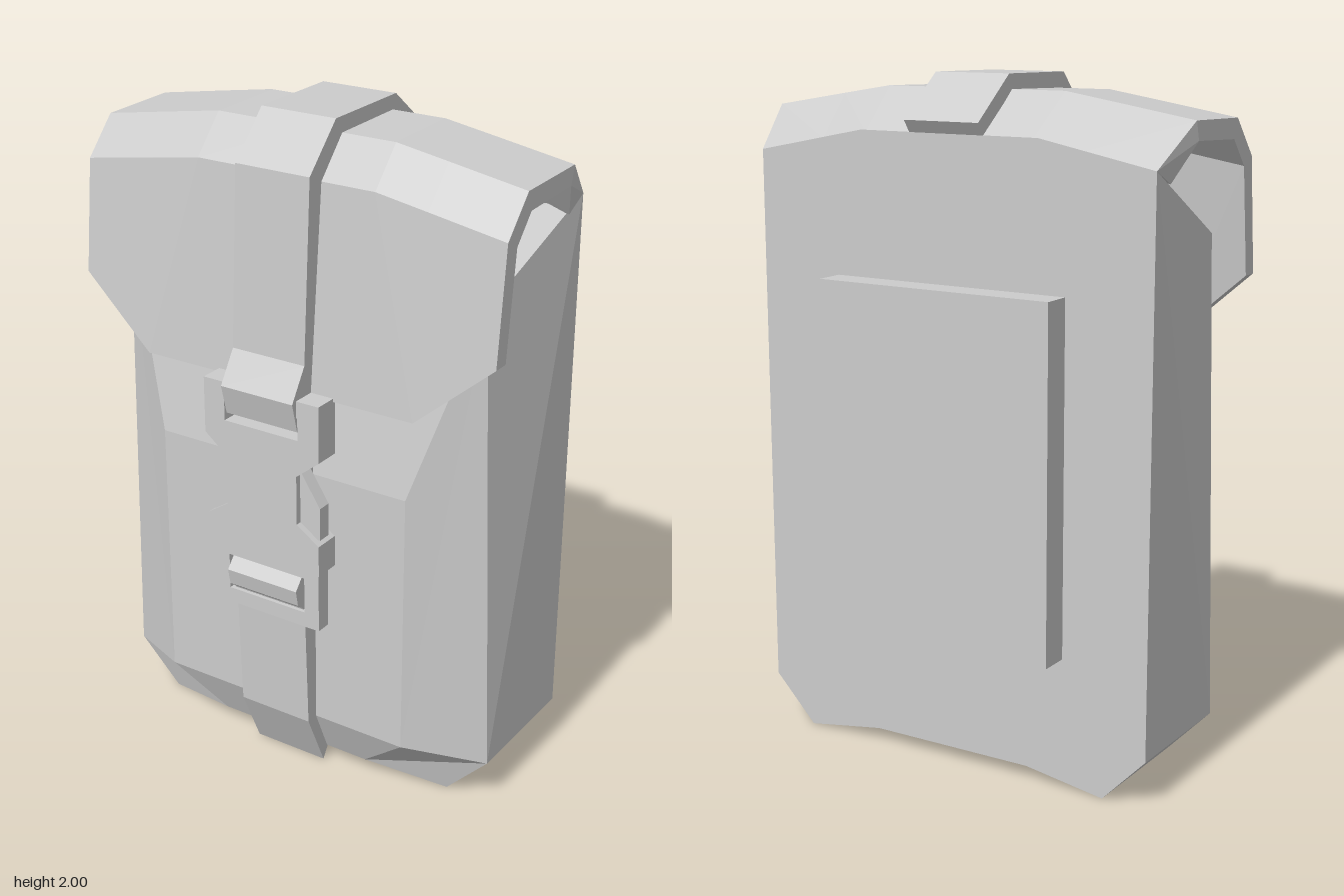
import * as THREE from 'three';

const material = new THREE.MeshStandardMaterial({ color: 0xcccccc, flatShading: true });

function addMesh(group, name, geometry) {
  const mesh = new THREE.Mesh(geometry, material);
  mesh.name = name;
  group.add(mesh);
  return mesh;
}

// Faceted solid from the polygons of its +x half, mirrored to the other side
function mirroredSolid(polygons) {
  const pos = [];
  for (const p of polygons) {
    for (let i = 1; i < p.length - 1; i++) {
      const [a, b, c] = [p[0], p[i], p[i + 1]];
      pos.push(...a, ...b, ...c);
      for (const [x, y, z] of [a, c, b]) pos.push(-x, y, z);
    }
  }
  const g = new THREE.BufferGeometry();
  g.setAttribute('position', new THREE.Float32BufferAttribute(pos, 3));
  g.computeVertexNormals();
  return g;
}

const toShape = (pts) => new THREE.Shape(pts.map(([x, y]) => new THREE.Vector2(x, y)));

// Side profile of [z, y] points, extruded across x
function sideExtrude(profile, width) {
  const g = new THREE.ExtrudeGeometry(toShape(profile.map(([z, y]) => [-z, y])), { depth: width, bevelEnabled: false });
  g.translate(0, 0, -width / 2);
  g.rotateY(Math.PI / 2);
  return g;
}

// Front outline of [x, y] points with rectangular holes, extruded from z0 to z1
function plate(outline, z0, z1, holes = []) {
  const shape = toShape(outline);
  for (const [w, y0, y1] of holes) {
    shape.holes.push(toShape([[-w, y0], [-w, y1], [w, y1], [w, y0]]));
  }
  const g = new THREE.ExtrudeGeometry(shape, { depth: z1 - z0, bevelEnabled: false });
  g.translate(0, 0, z0);
  return g;
}

const mirrorOutline = (half) => [...half, ...half.map(([x, y]) => [-x, y]).reverse()];

function bodyGeometry() {
  const mid = ([, y, z]) => [0, y, z];
  // front panel, shoulder and bottom corners
  const panelLow = [0.42, 0.18, 0.255], panelHigh = [0.42, 0.99, 0.255];
  const shoulder = [0.6, 1.56, 0.155], sideLow = [0.645, 0.14, 0.135];
  const footOut = [0.51, 0, 0.13], footIn = [0.26, 0.04, 0.195];
  // back corners
  const backSide = [0.645, 0.14, -0.28], backOut = [0.51, 0, -0.28], backIn = [0.26, 0.04, -0.28];
  const backTop = [0.645, 1.77, -0.28], backCrest = [0.29, 1.84, -0.28];
  // top under the flap
  const top = [0.43, 1.71, 0.03], topBack = [0.43, 1.73, -0.2];
  return mirroredSolid([
    [mid(panelLow), panelLow, panelHigh, mid(panelHigh)],
    [mid(panelHigh), panelHigh, shoulder, mid(shoulder)],
    [panelLow, sideLow, shoulder, panelHigh],
    [mid(footIn), footIn, panelLow, mid(panelLow)],
    [footIn, footOut, sideLow, panelLow],
    [sideLow, backSide, backTop, shoulder],
    [footOut, backOut, backSide, sideLow],
    [backIn, backOut, footOut, footIn],
    [mid(backIn), backIn, footIn, mid(footIn)],
    [backIn, mid(backIn), mid(backCrest), backCrest, backTop, backSide, backOut],
    [mid(shoulder), shoulder, top, mid(top)],
    [shoulder, backTop, top],
    [mid(top), top, topBack, mid(topBack)],
    [top, backTop, topBack],
    [mid(topBack), topBack, backCrest, mid(backCrest)],
    [topBack, backTop, backCrest],
  ]);
}

function flapGeometry() {
  // [x, rise of the crown, y of the lower edge, z of the lower edge]
  const stations = [[0, 0.065, 1.24, 0.275], [0.29, 0.065, 1.24, 0.275], [0.45, 0.039, 1.24, 0.275], [0.685, 0, 1.44, 0.255]];
  const outer = [[-0.28, 1.77], [-0.135, 1.892], [0.12, 1.885], [0.22, 1.775]];
  const inner = [[0.17, 1.75], [0.1, 1.828], [-0.12, 1.838], [-0.2, 1.73]];
  const loops = stations.map(([x, rise, y, z]) => {
    const place = ([pz, py]) => [pz < -0.19 ? x * 0.942 : x, py + rise, pz];
    return [...outer.map(place), [x, y, z], [x, y, z - 0.05], ...inner.map(place)];
  });
  const faces = [];
  for (let s = 0; s < loops.length - 1; s++) {
    const [a, b] = [loops[s], loops[s + 1]];
    for (let k = 0; k < 10; k++) {
      const n = (k + 1) % 10;
      faces.push([a[k], a[n], b[n], b[k]]);
    }
  }
  const end = loops[loops.length - 1];
  for (let k = 0; k < 4; k++) faces.push([end[k], end[k + 1], end[8 - k], end[9 - k]]);
  return mirroredSolid(faces);
}

export function createModel() {
  const model = new THREE.Group();
  model.name = 'pouch';

  addMesh(model, 'body', bodyGeometry());
  addMesh(model, 'flap', flapGeometry());

  // Pad on the back
  const pad = addMesh(model, 'backPad', new THREE.BoxGeometry(0.755, 1.03, 0.1));
  pad.position.set(0, 0.905, -0.32);

  // Strap over the flap, folding into the buckle
  addMesh(model, 'upperStrap', sideExtrude([
    [-0.31, 1.875], [-0.15, 2], [0.15, 1.995], [0.275, 1.865], [0.305, 1.34], [0.365, 1.245], [0.342, 1.155],
    [0.26, 1.19], [0.27, 1.24], [0.22, 1.84], [0.12, 1.95], [-0.13, 1.957], [-0.285, 1.84],
  ], 0.242));

  // Strap up the front, bulging through the lower slot
  addMesh(model, 'lowerStrap', sideExtrude([
    [0.215, 0], [0.295, 0.18], [0.31, 0.56], [0.32, 0.585], [0.345, 0.605], [0.355, 0.655], [0.325, 0.69],
    [0.27, 0.705], [0.25, 0.7], [0.25, 0.18], [0.19, 0.04],
  ], 0.242));

  // Side-release buckle
  const buckle = new THREE.Group();
  buckle.name = 'buckle';
  model.add(buckle);
  addMesh(buckle, 'buckleSocket', plate(mirrorOutline([
    [0.195, 0.725], [0.195, 0.82], [0.12, 0.87], [0.12, 1.02], [0.195, 1.08], [0.195, 1.25],
  ]), 0.265, 0.347, [[0.125, 1.132, 1.2]]));
  addMesh(buckle, 'buckleFrame', plate(mirrorOutline([[0.183, 0.533], [0.183, 0.73]]), 0.283, 0.33, [[0.133, 0.58, 0.692]]));
  for (const s of [1, -1]) {
    const prong = [[0.1, 0.83], [0.187, 0.83], [0.187, 0.93], [0.125, 1.025], [0.1, 1.025]];
    addMesh(buckle, s > 0 ? 'leftProng' : 'rightProng', plate(prong.map(([x, y]) => [s * x, y]), 0.285, 0.328));
  }
  return model;
}
